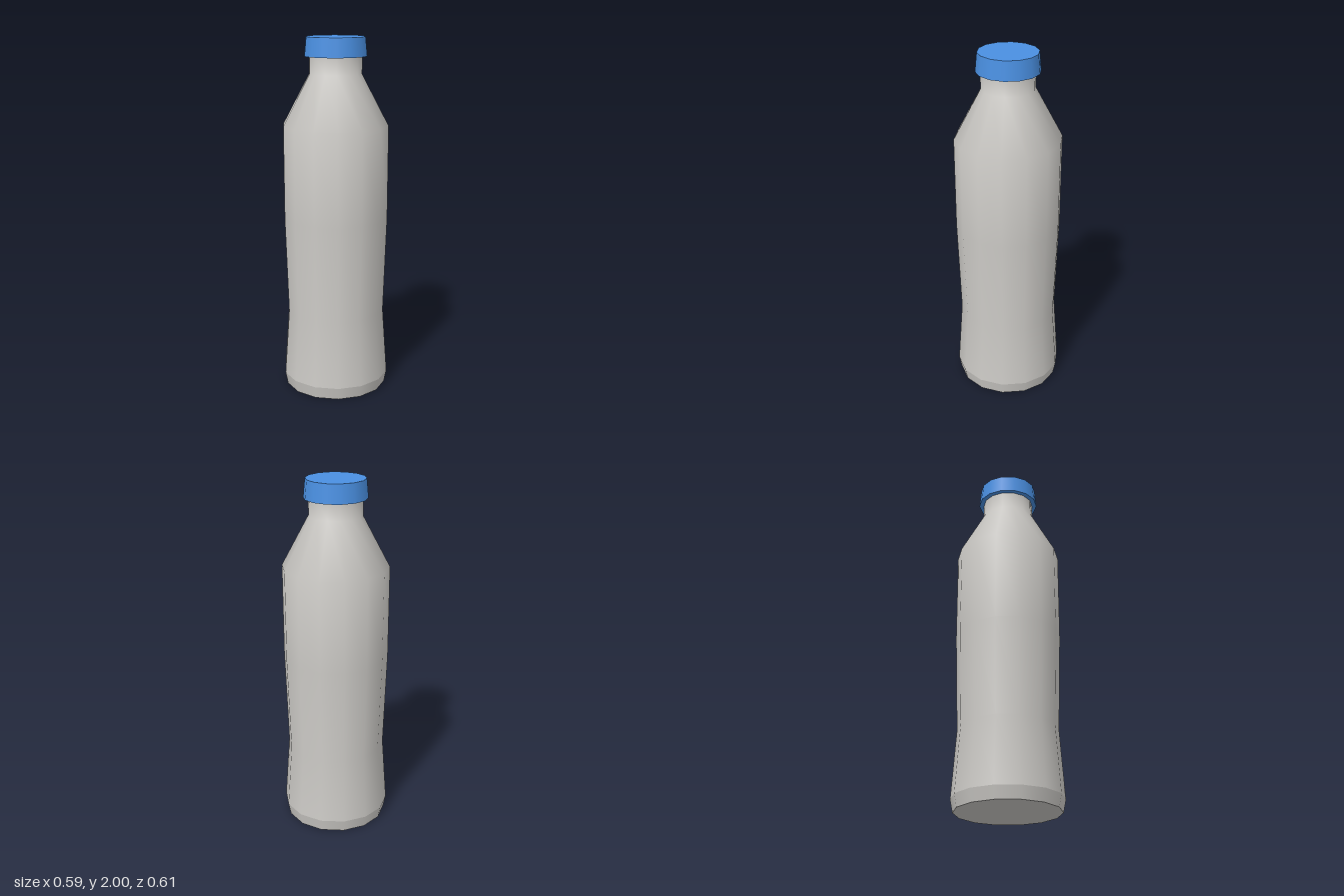
import * as THREE from 'three';

const SIDES = 14;

export function createModel() {
  const model = new THREE.Group();
  model.name = 'bottle';

  const bodyGrey = new THREE.MeshStandardMaterial({ color: 0xcccac6 });
  bodyGrey.name = 'body grey';
  const capBlue = new THREE.MeshStandardMaterial({ color: 0x4a90e2 });
  capBlue.name = 'cap blue';

  // Each lathe is smooth along its profile; separate lathes meet in a crease.
  function ring(name, profile, material, parent) {
    const points = profile.map(([r, y]) => new THREE.Vector2(r, y));
    const mesh = new THREE.Mesh(new THREE.LatheGeometry(points, SIDES), material);
    mesh.name = name;
    parent.add(mesh);
  }

  // Bottle: flat underside, tapered foot, waisted wall, sloping shoulder, neck
  const bottle = new THREE.Group();
  bottle.name = 'bottleBody';
  ring('underside', [[0, 0], [0.29, 0]], bodyGrey, bottle);
  ring('foot', [[0.29, 0], [0.304, 0.07]], bodyGrey, bottle);
  ring('wall', [
    [0.304, 0.07], [0.277, 0.45], [0.295, 1.0], [0.296, 1.52],
    [0.147, 1.8], [0.147, 1.91],
  ], bodyGrey, bottle);

  // Cap: flat underside, slightly tapered skirt, flat top
  const cap = new THREE.Group();
  cap.name = 'cap';
  ring('capUnderside', [[0, 1.895], [0.174, 1.895]], capBlue, cap);
  ring('capSkirt', [[0.174, 1.895], [0.164, 2]], capBlue, cap);
  ring('capTop', [[0.164, 2], [0, 2]], capBlue, cap);

  model.add(bottle, cap);
  return model;
}
